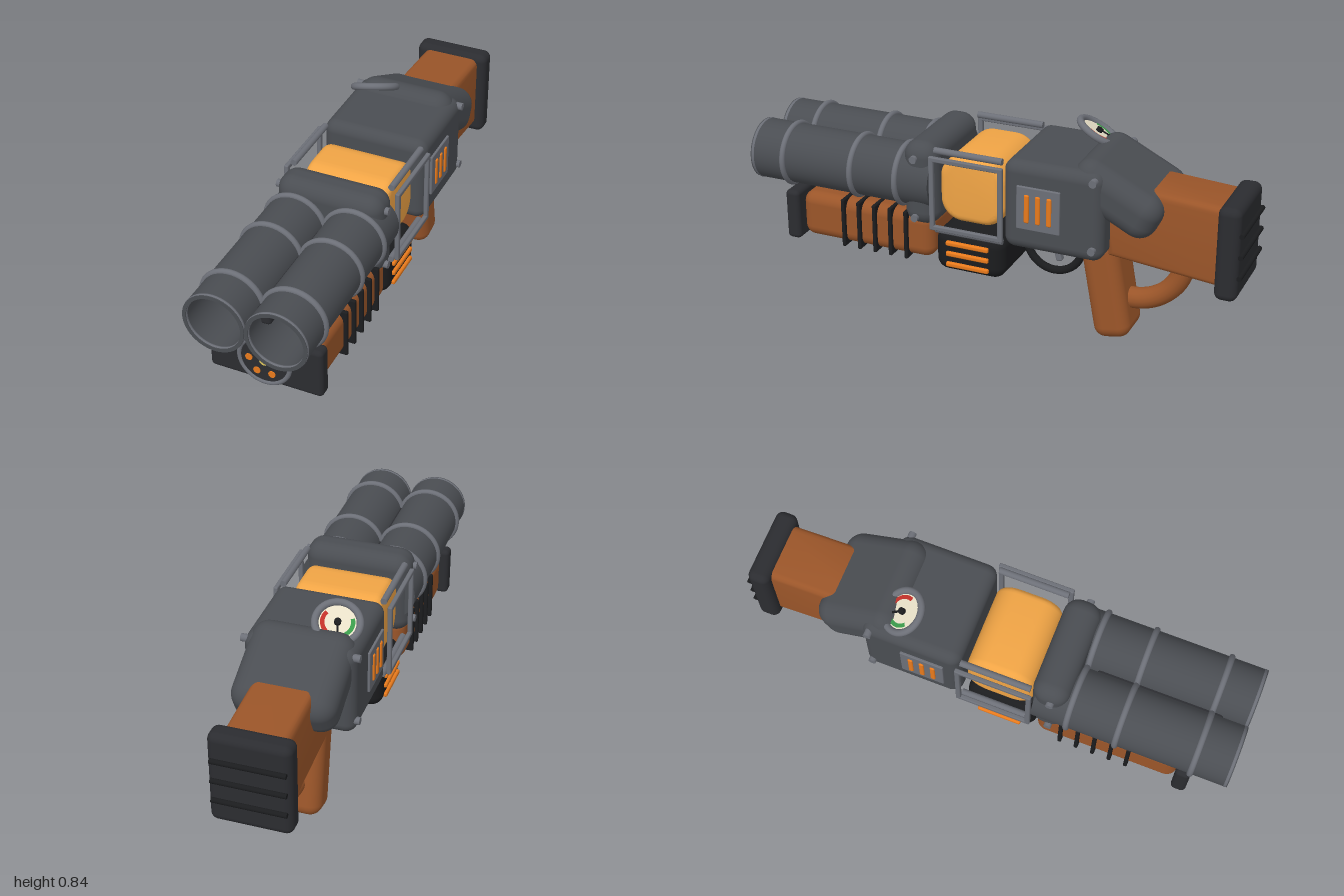
import * as THREE from 'three';
import { RoundedBoxGeometry } from 'three/addons/geometries/RoundedBoxGeometry.js';
import { toCreasedNormals, mergeGeometries } from 'three/addons/utils/BufferGeometryUtils.js';

const mat = (color, side = THREE.FrontSide) => new THREE.MeshStandardMaterial({ color, side });

export function createModel() {
  const model = new THREE.Group();
  const metal = mat(0x4a4d52), trim = mat(0x6c6f77), dark = mat(0x2b2c30), black = mat(0x1b1c1e);
  const wood = mat(0x9a5529, THREE.DoubleSide), orange = mat(0xe87a1c), amber = mat(0xf0a445);
  const yellow = mat(0xdcc45a);

  const add = (name, geometry, material, x = 0, y = 0, z = 0, parent = model) => {
    const mesh = new THREE.Mesh(geometry, material);
    mesh.name = name;
    mesh.position.set(x, y, z);
    parent.add(mesh);
    return mesh;
  };
  const box = (name, material, [w, h, d], [x, y, z], r = 0.01) =>
    add(name, new RoundedBoxGeometry(w, h, d, 4, r), material, x, y, z);
  // Cylinder lying along x or z
  const rod = (name, material, r, length, [x, y, z], axis) => {
    const g = new THREE.CylinderGeometry(r, r, length, 20);
    if (axis === 'x') g.rotateZ(Math.PI / 2);
    if (axis === 'z') g.rotateX(Math.PI / 2);
    return add(name, g, material, x, y, z);
  };
  // Side profile in (z, y), bevelled and extruded across x
  const sideExtrude = (shape, width, bevel) => {
    const g = new THREE.ExtrudeGeometry(shape, {
      depth: width - 2 * bevel, bevelSize: bevel, bevelThickness: bevel,
      bevelOffset: -bevel, bevelSegments: 5, curveSegments: 10,
    });
    g.translate(0, 0, bevel - width / 2).rotateY(-Math.PI / 2);
    return toCreasedNormals(g, 0.6);
  };

  // Twin barrels with open bores and bands
  const profile = [[0, 0.22], [0.12, 0.22], [0.12, 1], [0.106, 1], [0.106, 0.3], [0, 0.3]]
    .map(([r, z]) => new THREE.Vector2(r, z));
  const barrel = toCreasedNormals(new THREE.LatheGeometry(profile, 48).rotateX(Math.PI / 2), 0.6);
  for (const s of [-1, 1]) {
    add('barrel', barrel, metal, s * 0.12, 0.58, 0);
    for (const z of [0.36, 0.555, 0.855])
      add('barrelBand', new THREE.TorusGeometry(0.12, 0.012, 12, 48), trim, s * 0.12, 0.58, z);
    add('muzzleLip', new THREE.TorusGeometry(0.113, 0.009, 10, 48), trim, s * 0.12, 0.58, 0.991);
  }
  box('barrelBridge', dark, [0.1, 0.06, 0.5], [0, 0.58, 0.65], 0.015);

  // Main bodies
  box('frontBlock', metal, [0.43, 0.345, 0.145], [0, 0.573, 0.273], 0.06);
  box('receiver', metal, [0.43, 0.36, 0.4], [0, 0.565, -0.28], 0.045);
  box('stockSocket', metal, [0.4, 0.185, 0.37], [0, 0.635, -0.505], 0.07).rotation.x = -0.46;

  // Energy canister, a soft rounded square seen from the side
  const can = new THREE.Shape(), h = 0.135, r = 0.09;
  can.moveTo(-h + r, -h);
  can.absarc(h - r, -h + r, r, -Math.PI / 2, 0);
  can.absarc(h - r, h - r, r, 0, Math.PI / 2);
  can.absarc(-h + r, h - r, r, Math.PI / 2, Math.PI);
  can.absarc(-h + r, -h + r, r, Math.PI, Math.PI * 1.5);
  add('canister', sideExtrude(can, 0.35, 0.03), amber, 0, 0.567, 0.065);

  // Side details, mirrored
  for (const s of [-1, 1]) {
    for (const y of [0.73, 0.4]) rod('cageRail', trim, 0.013, 0.28, [s * 0.2, y, 0.063], 'z');
    for (const z of [0.205, -0.08])
      box('cagePost', trim, [0.018, 0.305, 0.02], [s * 0.228, 0.563, z], 0.005);
    for (const y of [0.705, 0.42])
      box('cageBar', trim, [0.018, 0.02, 0.3], [s * 0.228, y, 0.063], 0.005);
    for (const [y, z] of [[0.685, 0.285], [0.44, 0.285], [0.715, -0.445], [0.44, -0.445]])
      rod('rivet', trim, 0.015, 0.05, [s * 0.203, y, z], 'x');
    box('ventPlate', trim, [0.02, 0.175, 0.175], [s * 0.214, 0.568, -0.23], 0.004);
    for (const z of [-0.185, -0.23, -0.275])
      box('ventBar', orange, [0.02, 0.115, 0.02], [s * 0.22, 0.568, z], 0.006);
    for (const y of [0.345, 0.3, 0.255])
      box('magazineBar', orange, [0.03, 0.02, 0.18], [s * 0.187, y, 0.075], 0.007);
  }

  // Lower magazine
  box('magazine', black, [0.38, 0.18, 0.29], [0, 0.305, 0.075], 0.05);

  // Pump grip with ribs and front emitter
  box('pumpGrip', wood, [0.39, 0.19, 0.58], [0, 0.35, 0.515], 0.045);
  for (let i = 0; i < 5; i++)
    box('pumpRib', black, [0.42, 0.204, 0.016], [0, 0.35, 0.61 - i * 0.069], 0.006);
  box('pumpPlate', dark, [0.45, 0.208, 0.06], [0, 0.351, 0.832], 0.018);
  rod('emitterDisc', dark, 0.1, 0.02, [0, 0.35, 0.857], 'z');
  add('emitterRing', new THREE.TorusGeometry(0.1, 0.009, 12, 48), trim, 0, 0.35, 0.864);
  rod('emitterCore', yellow, 0.018, 0.014, [0, 0.35, 0.865], 'z');
  for (let i = 0; i < 6; i++) {
    const a = i * Math.PI / 3;
    rod('emitterLight', orange, 0.014, 0.012, [0.06 * Math.cos(a), 0.35 + 0.06 * Math.sin(a), 0.865], 'z');
  }

  // Shoulder stock and butt pad
  const stock = new THREE.Shape([[-0.93, 0.333], [-0.47, 0.378], [-0.44, 0.55], [-0.56, 0.678], [-0.93, 0.655]]
    .map(([z, y]) => new THREE.Vector2(z, y)));
  add('stock', sideExtrude(stock, 0.24, 0.03), wood);
  box('buttPad', dark, [0.31, 0.375, 0.088], [0, 0.487, -0.939], 0.03);
  for (const y of [0.57, 0.485, 0.4]) rod('padRidge', black, 0.01, 0.28, [0, y, -0.988], 'x');

  // Pistol grip and hand loop
  box('pistolGrip', wood, [0.2, 0.42, 0.15], [0, 0.215, -0.45], 0.05).rotation.x = 0.18;
  const start = Math.PI * 1.045;
  const loop = mergeGeometries([
    new THREE.TorusGeometry(0.212, 0.042, 16, 28, 1.75).rotateZ(start),
    new THREE.CircleGeometry(0.042, 16).rotateX(Math.PI / 2)
      .translate(0.212, 0, 0).rotateZ(start),
  ]);
  add('handLoop', loop.rotateY(-Math.PI / 2), wood, 0, 0.375, -0.533);

  // Trigger and guard
  add('triggerGuard', new THREE.TorusGeometry(0.115, 0.016, 12, 40).rotateY(Math.PI / 2), black, 0, 0.33, -0.212);
  box('trigger', trim, [0.03, 0.11, 0.024], [0, 0.315, -0.222], 0.006).rotation.x = 0.28;

  // Tilted dial gauge facing up and back
  const gauge = new THREE.Group();
  gauge.name = 'gauge';
  const n = new THREE.Vector3(-0.2, 0.85, -0.47).normalize();
  const up = new THREE.Vector3().crossVectors(n, new THREE.Vector3(1, 0, 0)).normalize();
  const right = new THREE.Vector3().crossVectors(up, n);
  gauge.quaternion.setFromRotationMatrix(new THREE.Matrix4().makeBasis(right, up, n));
  gauge.position.set(-0.107, 0.783, -0.343);
  model.add(gauge);
  add('gaugeRim', new THREE.TorusGeometry(0.083, 0.014, 12, 40), trim, 0, 0, 0, gauge);
  add('gaugeFace', new THREE.CircleGeometry(0.083, 40), mat(0xe8e0c8, THREE.DoubleSide), 0, 0, 0, gauge);
  const deg = Math.PI / 180;
  for (const [name, color, from, sweep] of [
    ['redZone', 0xc03028, -30, 100], ['yellowZone', 0xe0b030, 70, 50], ['greenZone', 0x3a9a4a, 120, 90]])
    add(name, new THREE.RingGeometry(0.048, 0.064, 20, 1, from * deg, sweep * deg), mat(color), 0, 0, 0.004, gauge);
  add('needle', new THREE.BoxGeometry(0.008, 0.055, 0.004).translate(0, 0.025, 0), black, 0, 0, 0.008, gauge)
    .rotation.z = 0.25;
  add('needleHub', new THREE.CylinderGeometry(0.013, 0.013, 0.014, 16).rotateX(Math.PI / 2), black, 0, 0, 0.007, gauge);

  return model;
}
